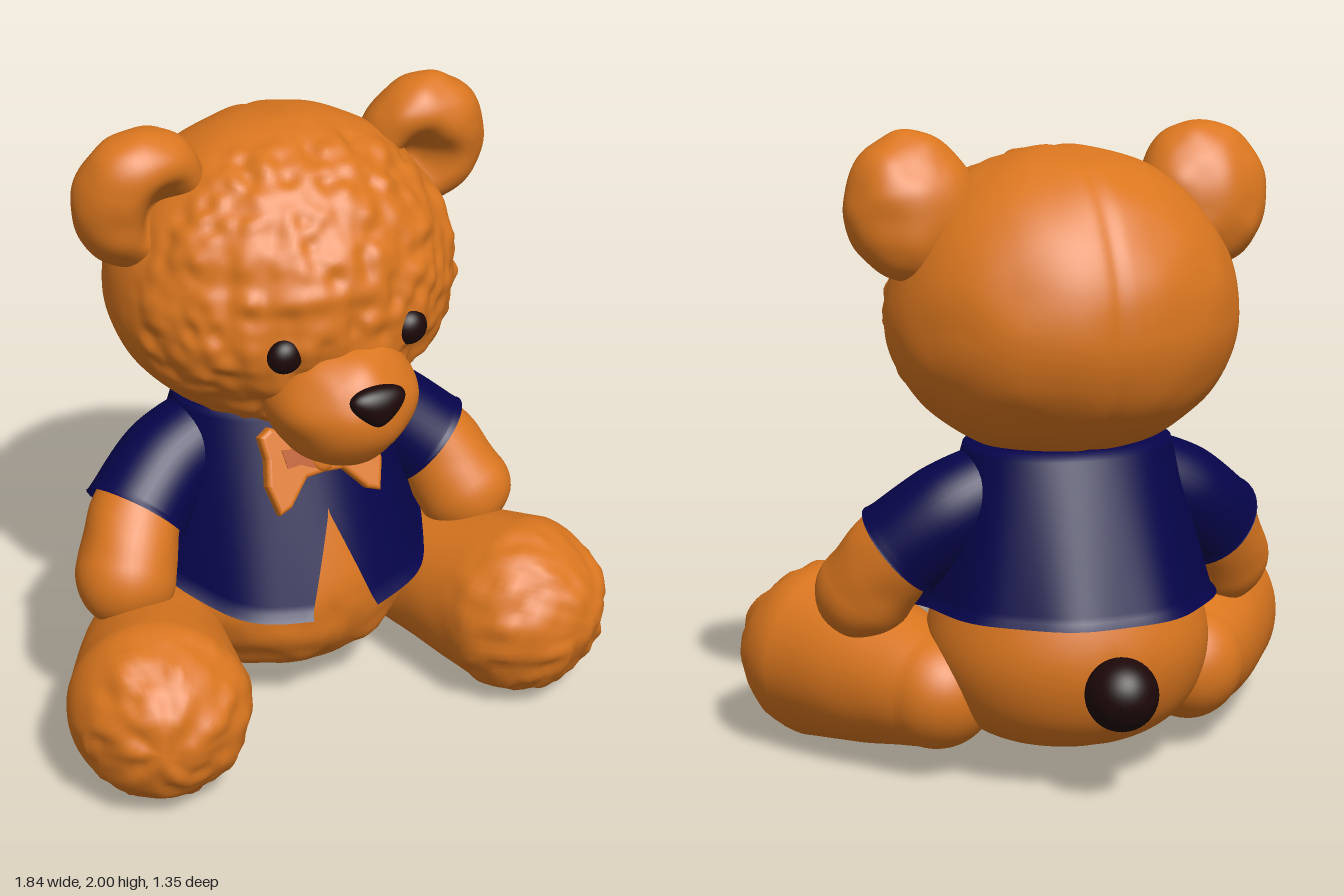
import * as THREE from 'three';
import { mergeVertices } from 'three/addons/utils/BufferGeometryUtils.js';

const mat = (name, color, side = THREE.FrontSide) =>
  Object.assign(new THREE.MeshStandardMaterial({ color, side }), { name });

// Smooth value noise in the range -1..1
const hash = (i, j, k) => {
  const s = Math.sin(i * 127.1 + j * 311.7 + k * 74.7) * 43758.5453;
  return s - Math.floor(s);
};
function noise(x, y, z) {
  const c = [x, y, z].map(Math.floor);
  const f = [x - c[0], y - c[1], z - c[2]].map(v => v * v * (3 - 2 * v));
  let sum = 0;
  for (let n = 0; n < 8; n++) {
    const d = [n & 1, (n >> 1) & 1, n >> 2];
    const w = d.reduce((p, v, q) => p * (v ? f[q] : 1 - f[q]), 1);
    sum += w * hash(c[0] + d[0], c[1] + d[1], c[2] + d[2]);
  }
  return sum * 2 - 1;
}

// Push vertices along their normals by an amount that depends on position
function displace(geo, amount) {
  const p = geo.attributes.position, n = geo.attributes.normal;
  const v = new THREE.Vector3(), d = new THREE.Vector3();
  for (let i = 0; i < p.count; i++) {
    v.fromBufferAttribute(p, i);
    d.fromBufferAttribute(n, i);
    v.addScaledVector(d, amount(v));
    p.setXYZ(i, v.x, v.y, v.z);
  }
  geo.computeVertexNormals();
  return geo;
}
const fur = (v, amp, freq = 20) => amp * noise(v.x * freq + 50, v.y * freq + 50, v.z * freq + 50);
const ramp = (v, a, b) => THREE.MathUtils.smoothstep(v, a, b);
const seam = v => Math.exp(-((v.x / 0.025) ** 2));

// Unit ball with shared vertices, reshaped by a rule
function ball(detail, rule) {
  const geo = new THREE.IcosahedronGeometry(1, detail);
  geo.deleteAttribute('uv');
  geo.deleteAttribute('normal');
  const g = mergeVertices(geo, 1e-4), p = g.attributes.position, v = new THREE.Vector3();
  for (let i = 0; i < p.count; i++) {
    rule(v.fromBufferAttribute(p, i));
    p.setXYZ(i, v.x, v.y, v.z);
  }
  g.computeVertexNormals();
  return g;
}
const ellipsoid = (detail, c, r) =>
  ball(detail, v => v.set(c[0] + v.x * r[0], c[1] + v.y * r[1], c[2] + v.z * r[2]));

function build(pos, idx) {
  const g = new THREE.BufferGeometry();
  g.setAttribute('position', new THREE.Float32BufferAttribute(pos, 3));
  g.setIndex(idx);
  const m = mergeVertices(g, 1e-5);
  m.computeVertexNormals();
  return m;
}

// Swept round limb through [x, y, z, radius] points, with round or open ends
function limb(points, open = false, segs = 40) {
  const path = new THREE.CatmullRomCurve3(points.map(p => new THREE.Vector3(p[0], p[1], p[2])));
  const width = new THREE.CatmullRomCurve3(points.map(p => new THREE.Vector3(p[3], 0, 0)));
  const t0 = path.getTangent(0);
  const ref = Math.abs(t0.z) > Math.abs(t0.y) ? new THREE.Vector3(0, 1, 0) : new THREE.Vector3(0, 0, 1);
  const rings = [], steps = 24, cap = 14;
  const ring = (u, ang) => {
    const r = width.getPoint(u).x, T = path.getTangent(u);
    rings.push({ c: path.getPoint(u).addScaledVector(T, r * Math.sin(ang)), r: r * Math.cos(ang), T });
  };
  if (!open) for (let i = 0; i < cap; i++) ring(0, -Math.PI / 2 * (1 - i / cap));
  for (let i = 0; i <= steps; i++) ring(i / steps, 0);
  if (!open) for (let i = 1; i <= cap; i++) ring(1, Math.PI / 2 * i / cap);
  const pos = [], idx = [];
  rings.forEach(({ c, r, T }, i) => {
    const N = new THREE.Vector3().crossVectors(ref, T).normalize();
    const B = new THREE.Vector3().crossVectors(T, N);
    for (let j = 0; j < segs; j++) {
      const a = j / segs * Math.PI * 2;
      const q = c.clone().addScaledVector(N, r * Math.cos(a)).addScaledVector(B, r * Math.sin(a));
      pos.push(q.x, q.y, q.z);
      if (i + 1 < rings.length) {
        const k = (j + 1) % segs, A = i * segs, D = A + segs;
        idx.push(A + j, A + k, D + j, A + k, D + k, D + j);
      }
    }
  });
  return build(pos, idx);
}

// Flared shirt shell with a split at the lower front
function shirtGeometry() {
  const rows = 30, cols = 96, pos = [], idx = [];
  for (let i = 0; i <= rows; i++) {
    const t = Math.max(0, (i - 3) / (rows - 3)), collar = i < 3 ? 0.6 + 0.4 * i / 3 : 1;
    const lip = i === rows ? 0.012 : 0;
    const rx = (0.33 + 0.125 * t) * collar + lip, rz = (0.25 + 0.215 * t) * collar + lip;
    const a0 = Math.asin(0.11 * Math.max(0, (t - 0.5) / 0.5) / rx);
    for (let j = 0; j <= cols; j++) {
      const a = a0 + j / cols * (2 * Math.PI - 2 * a0);
      const fold = 1 + 0.012 * t * (1 + Math.sin(9 * a + 1));
      const hem = 0.555 - 0.12 * ramp(Math.cos(a), -0.2, 0.95);
      pos.push(rx * fold * Math.sin(a), 1.045 + (hem - 1.045) * t + (i < 3 ? 0.006 : 0),
        -0.1 + 0.03 * t + rz * fold * Math.cos(a));
      if (i < rows && j < cols) {
        const A = i * (cols + 1) + j, D = A + cols + 1;
        idx.push(A, D, A + 1, A + 1, D, D + 1);
      }
    }
  }
  return build(pos, idx);
}

export function createModel() {
  const model = new THREE.Group();
  model.name = 'teddyBear';
  const plush = mat('orange plush', 0xda761f);
  const navy = mat('navy cloth', 0x06044a, THREE.DoubleSide);
  const dark = mat('dark brown', 0x1d0808);
  const rust = mat('rust ribbon', 0xb85412);
  const add = (name, geo, material, parent = model) => {
    const m = new THREE.Mesh(geo, material);
    m.name = name;
    parent.add(m);
    return m;
  };

  // Head with a furry face and a centre seam
  const head = ball(42, v => v.set(v.x * 0.55, 1.42 + v.y * (v.y > 0 ? 0.525 : 0.43), -0.06 + v.z * 0.5));
  add('head', displace(head, v =>
    fur(v, 0.015) * ramp(v.z, -0.02, 0.15) + fur(v, 0.006, 7) - 0.007 * seam(v)), plush);
  const muzzle = ellipsoid(20, [0, 1.185, 0.33], [0.23, 0.205, 0.248]);
  add('muzzle', displace(muzzle, v => fur(v, 0.01, 10)), plush);

  // Nose narrowing downwards
  add('nose', ball(8, v => v.set(v.x * 0.08 * (1 + 0.55 * v.y), 1.253 + v.y * 0.065, 0.572 + v.z * 0.048)), dark);

  // Torso and tail
  const profile = [[0, 0.1], [0.12, 0.1], [0.26, 0.125], [0.37, 0.2], [0.43, 0.31], [0.445, 0.44],
    [0.4, 0.6], [0.32, 0.8], [0.23, 0.98], [0.12, 1.03], [0, 1.035]].map(p => new THREE.Vector2(...p));
  const curve = new THREE.SplineCurve(profile).getPoints(60);
  curve.forEach(p => { p.x = Math.max(p.x, 0); });
  let torso = new THREE.LatheGeometry(curve, 80);
  torso.scale(1, 1, 0.95).translate(0, 0, -0.1);
  torso.deleteAttribute('uv');
  torso.deleteAttribute('normal');
  torso = mergeVertices(torso, 1e-4);
  torso.computeVertexNormals();
  add('torso', displace(torso, v => (fur(v, 0.014, 13) * ramp(v.z, 0, 0.2) - 0.01 * seam(v))
    * ramp(v.y, 0.1, 0.2) * (1 - ramp(v.y, 0.4, 0.5))), plush);
  add('tail', ellipsoid(6, [0, 0.355, -0.565], [0.112, 0.112, 0.112]), dark);

  add('shirt', shirtGeometry(), navy);

  for (const s of [1, -1]) {
    const side = s > 0 ? 'left' : 'right';
    add(side + 'Eye', ellipsoid(5, [s * 0.208, 1.383, 0.386], [0.056, 0.056, 0.045]), dark);

    // Cupped ear, hollowed towards the front
    const ear = ball(20, v => {
      if (v.z > 0) v.z -= 0.9 * v.z * Math.exp(-((v.x + s * 0.25) ** 2 + (v.y + 0.15) ** 2) / 0.17);
      v.set(s * 0.475 + v.x * 0.205, 1.775 + v.y * 0.225, -0.035 + v.z * 0.16 + v.y * 0.03);
    });
    add(side + 'Ear', displace(ear, v => fur(v, 0.007, 12)), plush);

    const arm = limb([[s * 0.38, 0.86, -0.08, 0.13], [s * 0.53, 0.71, -0.005, 0.147], [s * 0.6, 0.57, 0.075, 0.157]]);
    add(side + 'Arm', displace(arm, v => fur(v, 0.006, 10)), plush);
    add(side + 'Sleeve', limb([[s * 0.22, 0.92, -0.1, 0.14], [s * 0.38, 0.835, -0.08, 0.158],
      [s * 0.505, 0.73, -0.03, 0.163], [s * 0.52, 0.715, -0.022, 0.169]], true), navy);

    // Leg with a furry foot
    const leg = limb([[s * 0.42, 0.27, -0.07, 0.185], [s * 0.53, 0.28, 0.13, 0.235], [s * 0.635, 0.287, 0.38, 0.284]],
      false, 72);
    add(side + 'Leg', displace(leg, v => fur(v, 0.015) * ramp(v.z, 0.35, 0.5) + fur(v, 0.004, 7)), plush);
  }

  // Bow tie, its lower edge tipped forward
  const bow = new THREE.Group();
  bow.name = 'bowTie';
  bow.position.set(0, 0.912, 0.205);
  bow.rotation.x = -0.42;
  model.add(bow);
  for (const s of [1, -1]) {
    const wing = [[0, 0.04], [0.08, 0.06], [0.155, 0.1], [0.18, 0.085], [0.172, 0.02], [0.185, -0.06],
      [0.165, -0.14], [0.14, -0.13], [0.07, -0.05], [0, -0.045]].map(([x, y]) => new THREE.Vector2(x * s, y));
    add(s > 0 ? 'leftBowWing' : 'rightBowWing', new THREE.ExtrudeGeometry(new THREE.Shape(wing),
      { depth: 0.02, bevelThickness: 0.014, bevelSize: 0.014, bevelSegments: 4 }), plush, bow);
    // Uneven shaded crease on the wing
    const crease = [[0.035, 0.04], [0.09, 0.032], [0.135, 0.042], [0.125, -0.02], [0.08, -0.018], [0.035, -0.04]]
      .map(([x, y]) => new THREE.Vector2(x * s, y));
    add('bowCrease', new THREE.ExtrudeGeometry(new THREE.Shape(crease), { depth: 0.006, bevelEnabled: false }),
      rust, bow).position.z = 0.031;
  }
  add('bowKnot', ellipsoid(8, [0, 0, 0.03], [0.045, 0.055, 0.022]), plush, bow);
  add('knotBand', new THREE.BoxGeometry(0.07, 0.022, 0.008), rust, bow).position.set(0, 0.005, 0.05);

  return model;
}
